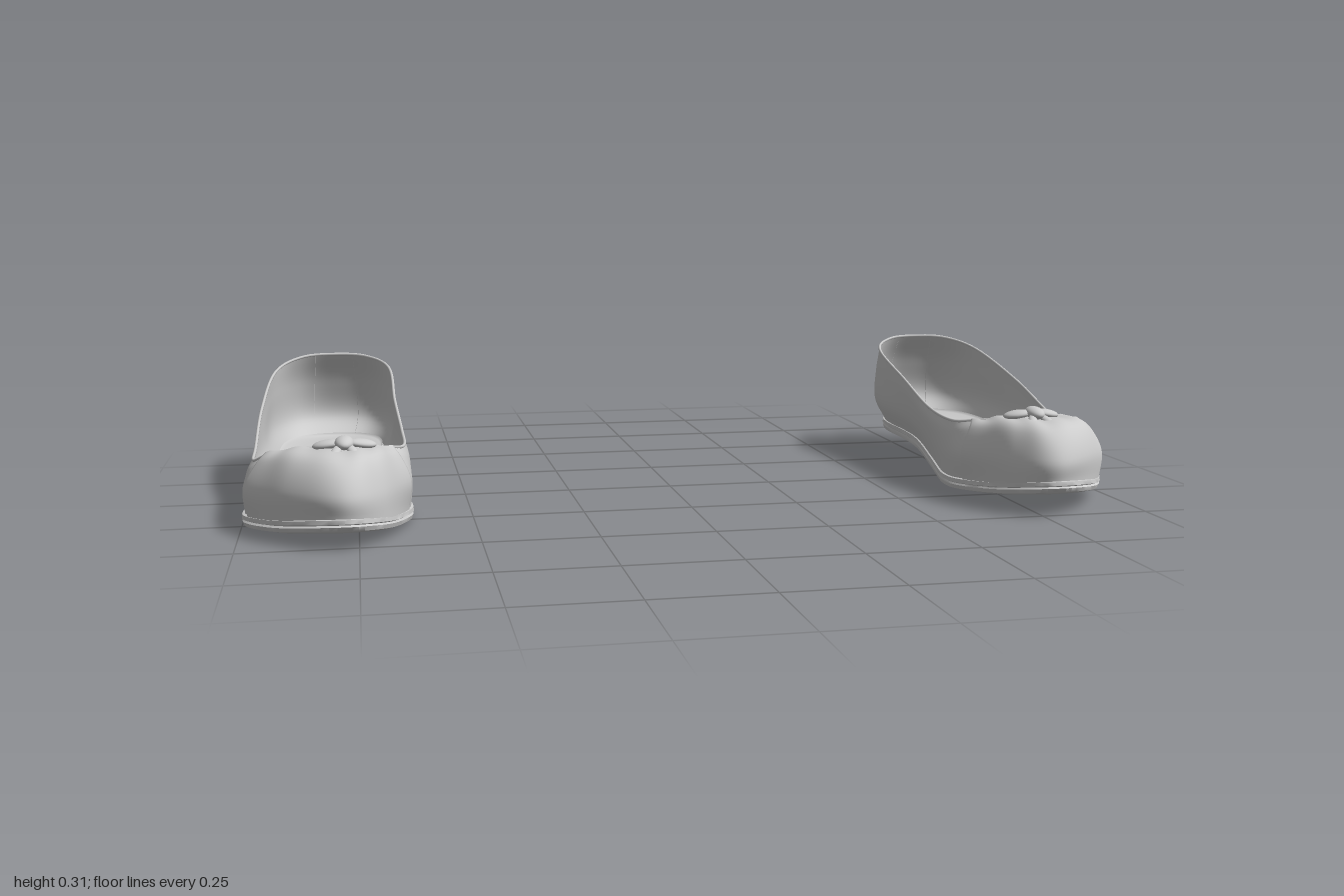
import * as THREE from 'three';
import { toCreasedNormals } from 'three/addons/utils/BufferGeometryUtils.js';

const material = new THREE.MeshStandardMaterial({ color: 0xcccccc, roughness: 0.7, side: THREE.DoubleSide });

// Underside height along the length of the shoe
const soleCurve = new THREE.CubicInterpolant(
  [-0.55, -0.4, -0.2, 0, 0.2, 0.4, 0.54], [0.062, 0.062, 0.055, 0.037, 0.021, 0.038, 0.062], 1);
const soleY = z => soleCurve.evaluate(THREE.MathUtils.clamp(z, -0.55, 0.54))[0];
const spineX = z => -0.005 - 0.03 * THREE.MathUtils.smoothstep(z, 0.15, 0.5);

// Sixteen stations per ring: heel, outer side, toe, inner side
const STATIONS = 16;
const baseXZ = [
  [-0.01, -0.48], [0.07, -0.455], [0.12, -0.36], [0.135, -0.15], [0.155, 0.05], [0.18, 0.2], [0.165, 0.3], [0.08, 0.44],
  [-0.035, 0.52], [-0.115, 0.45], [-0.165, 0.3], [-0.175, 0.2], [-0.15, 0.05], [-0.12, -0.15], [-0.125, -0.36], [-0.085, -0.455]];
const bulge = [
  [-0.01, 0.14, -0.536], [0.09, 0.14, -0.5], [0.145, 0.14, -0.36], [0.155, 0.13, -0.15],
  [0.17, 0.11, 0.05], [0.183, 0.1, 0.2], [0.17, 0.115, 0.3], [0.085, 0.13, 0.44],
  [-0.035, 0.13, 0.522], [-0.115, 0.13, 0.45], [-0.17, 0.115, 0.3], [-0.18, 0.11, 0.2],
  [-0.165, 0.12, 0.05], [-0.145, 0.13, -0.15], [-0.15, 0.14, -0.36], [-0.105, 0.14, -0.5]];
const shoulder = [
  [-0.01, 0.23, -0.515], [0.085, 0.23, -0.49], [0.142, 0.22, -0.37], [0.16, 0.185, -0.15],
  [0.17, 0.14, 0.05], [0.175, 0.135, 0.2], [0.145, 0.165, 0.29], [0.065, 0.192, 0.41],
  [-0.035, 0.195, 0.475], [-0.1, 0.192, 0.42], [-0.148, 0.17, 0.29], [-0.175, 0.155, 0.2],
  [-0.17, 0.165, 0.05], [-0.155, 0.195, -0.15], [-0.152, 0.22, -0.37], [-0.1, 0.23, -0.49]];
const rim = [
  [-0.01, 0.312, -0.472], [0.075, 0.307, -0.455], [0.137, 0.28, -0.37], [0.16, 0.22, -0.15],
  [0.165, 0.16, 0.05], [0.16, 0.157, 0.2], [0.125, 0.18, 0.265], [0.05, 0.2, 0.32],
  [-0.03, 0.206, 0.332], [-0.085, 0.2, 0.32], [-0.135, 0.188, 0.265], [-0.165, 0.18, 0.2],
  [-0.165, 0.19, 0.05], [-0.155, 0.232, -0.15], [-0.147, 0.285, -0.37], [-0.09, 0.307, -0.455]];
const base = baseXZ.map(([x, z]) => [x, soleY(z) + 0.026, z]);
const ring = pts => new THREE.CatmullRomCurve3(pts.map(p => new THREE.Vector3(...p)), true, 'catmullrom', 0.5);
const rings = [base, bulge, shoulder, rim].map(ring);
const baseRing = rings[0];

// Skin a grid of points; s = -1 mirrors it for the other foot
function loft(rows, s, closed, flip = false) {
  const n = rows[0].length, pos = [], idx = [];
  for (const row of rows) for (const p of row) pos.push(p.x * s, p.y, p.z);
  for (let r = 0; r < rows.length - 1; r++) {
    for (let c = 0; c < (closed ? n : n - 1); c++) {
      const a = r * n + c, b = r * n + (c + 1) % n, d = a + n, e = b + n;
      if ((s < 0) !== flip) idx.push(a, b, d, b, e, d);
      else idx.push(a, d, b, b, d, e);
    }
  }
  const g = new THREE.BufferGeometry();
  g.setAttribute('position', new THREE.Float32BufferAttribute(pos, 3));
  g.setIndex(idx);
  g.computeVertexNormals();
  return g;
}

// Part of the upper between two stations, from base to rim
function upperPatch(s, u0, u1, cols, closed) {
  const ROWS = 20;
  const rows = Array.from({ length: ROWS + 1 }, () => []);
  for (let c = 0; c < cols + (closed ? 0 : 1); c++) {
    const t = ((u0 + (u1 - u0) * c / cols + STATIONS) % STATIONS) / STATIONS;
    const profile = new THREE.CatmullRomCurve3(rings.map(r => r.getPoint(t)));
    for (let r = 0; r <= ROWS; r++) rows[r].push(profile.getPoint(r / ROWS));
  }
  return loft(rows, s, closed);
}

// Raised panel: pushed out along the normals, sealed at its side edges
function panel(s, u0, u1, cols, height) {
  const g = upperPatch(s, u0, u1, cols, false);
  const p = g.attributes.position, nrm = g.attributes.normal, n = cols + 1;
  for (let i = 0; i < p.count; i++) {
    const c = i % n, v = Math.floor(i / n) / (p.count / n - 1);
    const h = c === 0 || c === cols ? -0.001 : height(c / cols, v);
    p.setXYZ(i, p.getX(i) + nrm.getX(i) * h, p.getY(i) + nrm.getY(i) * h, p.getZ(i) + nrm.getZ(i) * h);
  }
  g.computeVertexNormals();
  return g;
}

// Base outline scaled about the spine, lifted above the underside
function soleRow(scale, lift, n = 112) {
  return Array.from({ length: n }, (_, i) => {
    const p = baseRing.getPoint(i / n), z = p.z * (1 + (scale - 1) * 0.08 + (scale > 1 ? (scale - 1) * 0.6 : 0));
    const cx = spineX(p.z);
    return new THREE.Vector3(cx + (p.x - cx) * scale, soleY(z) + lift, z);
  });
}

function add(parent, name, geometry) {
  const mesh = new THREE.Mesh(geometry, material);
  mesh.name = name;
  parent.add(mesh);
  return mesh;
}

function makeBow(s) {
  const bow = new THREE.Group();
  bow.name = 'bow';
  const ball = new THREE.SphereGeometry(1, 20, 14);
  // Teardrop knot
  const knot = add(bow, 'bowKnot', ball);
  knot.scale.set(0.02, 0.014, 0.033);
  knot.position.set(0, 0.008, 0.01);
  for (const side of [-1, 1]) {
    // Gathered loops and short tails
    const loop = add(bow, 'bowLoop', ball);
    loop.scale.set(0.032, 0.01, 0.02);
    loop.position.set(side * 0.036, 0.002, -0.004);
    loop.rotation.set(0, side * 0.3, -side * 0.18);
    const tail = add(bow, 'bowTail', ball);
    tail.scale.set(0.01, 0.007, 0.03);
    tail.position.set(side * 0.018, -0.004, 0.042);
    tail.rotation.set(0.35, side * 0.35, 0);
  }
  bow.position.set(-0.037 * s, 0.214, 0.375);
  bow.rotation.x = 0.08;
  return bow;
}

function makeShoe(name, s) {
  const shoe = new THREE.Group();
  shoe.name = name;
  add(shoe, 'upper', upperPatch(s, 0, STATIONS, 128, true));

  // Toe cap with soft gathers towards the throat
  add(shoe, 'toeCap', panel(s, 5.9, 10.1, 72, (c, v) =>
    0.005 + 0.0022 * Math.sin(c * 34) * v * v + 0.0015 * Math.sin(c * 11 + v * 7)));
  add(shoe, 'heelPanel', panel(s, -0.55, 0.55, 24, () => 0.003));

  // Binding around the opening
  const edge = new THREE.CatmullRomCurve3(rim.map(([x, y, z]) => new THREE.Vector3(x * s, y, z)), true, 'catmullrom', 0.5);
  add(shoe, 'rimBinding', new THREE.TubeGeometry(edge, 128, 0.0035, 8, true));

  // Layered sole: welt, groove, outsole, then across the underside
  const soleRows = [[0.98, 0.03], [1.03, 0.027], [1.035, 0.018], [1.012, 0.016], [1.03, 0.012],
    [1.015, 0.003], [0.92, 0], [0.5, -0.001], [0, -0.001]].map(([k, y]) => soleRow(k, y));
  add(shoe, 'sole', toCreasedNormals(loft(soleRows, s, true, true), 0.7));

  const insoleRows = [[0.99, 0.04], [0.94, 0.034], [0.5, 0.031], [0, 0.031]].map(([k, y]) => soleRow(k, y));
  add(shoe, 'insole', loft(insoleRows, s, true));

  shoe.add(makeBow(s));
  return shoe;
}

export function createModel() {
  const model = new THREE.Group();
  model.name = 'balletFlats';
  const left = makeShoe('leftShoe', 1);
  left.position.set(0.812, 0, -0.002);
  const right = makeShoe('rightShoe', -1);
  right.position.set(-0.812, -0.015, 0.006);
  model.add(left, right);
  return model;
}
